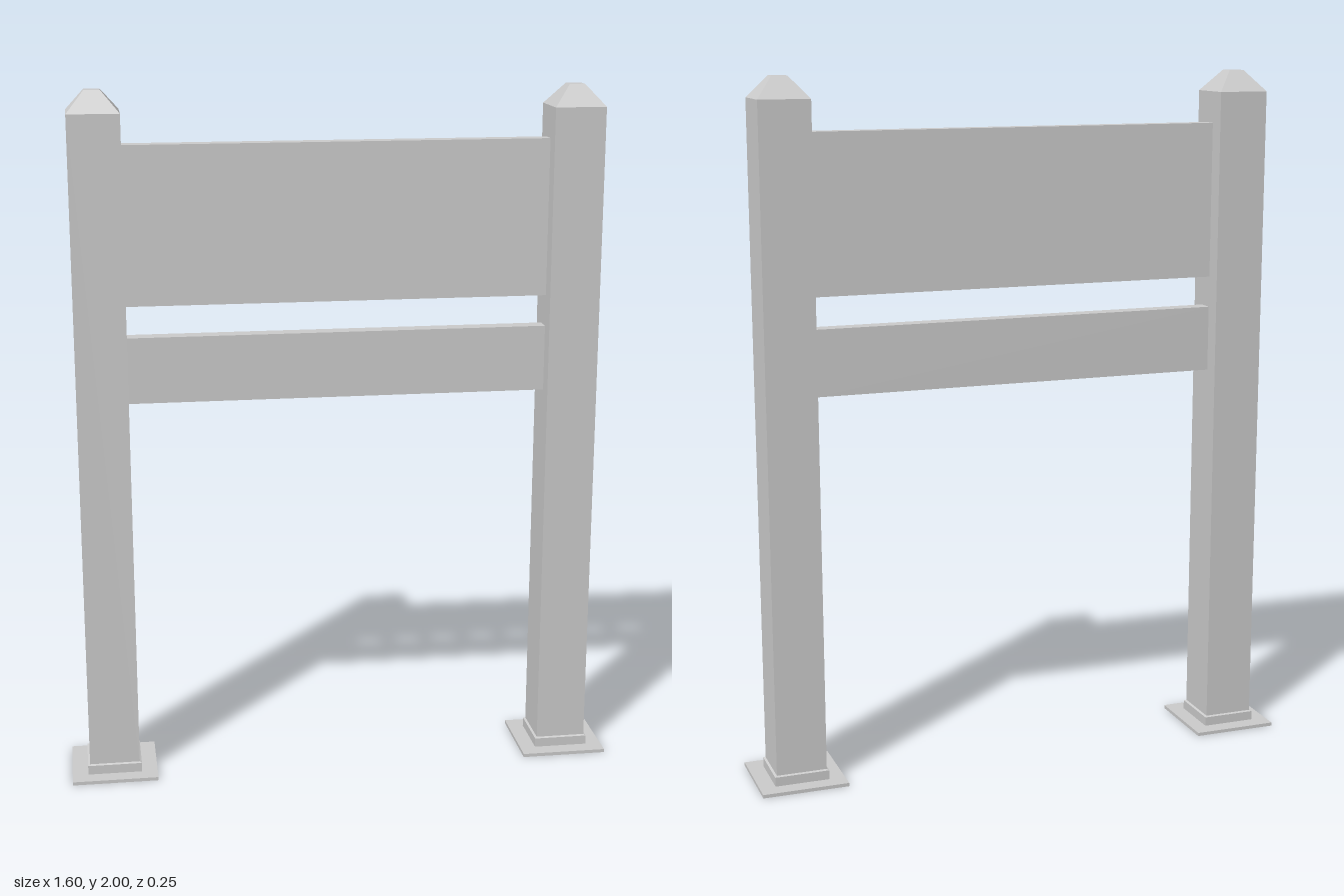
import * as THREE from 'three';

const material = new THREE.MeshStandardMaterial({ color: 0xcccccc, flatShading: true });

// Square turned solid from [half width, height] pairs; counter-clockwise profile faces outward
function squareLathe(name, profile) {
  const points = profile.map(([half, y]) => new THREE.Vector2(half * Math.SQRT2, y));
  const geometry = new THREE.LatheGeometry(points, 4, Math.PI / 4).toNonIndexed();
  geometry.computeVertexNormals();
  const mesh = new THREE.Mesh(geometry, material);
  mesh.name = name;
  return mesh;
}

function board(name, bottom, top) {
  const mesh = new THREE.Mesh(new THREE.BoxGeometry(1.21, top - bottom, 0.047), material);
  mesh.name = name;
  mesh.position.y = (bottom + top) / 2;
  return mesh;
}

function createPost(name) {
  const post = new THREE.Group();
  post.name = name;
  // Hollow square shaft, open at the foot
  post.add(squareLathe('shaft', [
    [0, 1.93], [0.056, 1.93], [0.056, 0.012], [0.073, 0.012], [0.073, 1.94],
  ]));
  // Truncated pyramid cap
  post.add(squareLathe('cap', [[0.073, 1.94], [0.022, 2], [0, 2]]));
  // Flat foot plate with a raised collar around the shaft
  post.add(squareLathe('footPlate', [
    [0.068, 0.012], [0.068, 0], [0.125, 0], [0.125, 0.01],
    [0.079, 0.01], [0.079, 0.037], [0.073, 0.04],
  ]));
  return post;
}

export function createModel() {
  const model = new THREE.Group();
  model.name = 'signFrame';

  // Pair of posts
  for (const side of [-1, 1]) {
    const post = createPost(side < 0 ? 'rightPost' : 'leftPost');
    post.position.x = side * 0.676;
    model.add(post);
  }

  // Boards between the posts
  model.add(board('upperBoard', 1.4, 1.85), board('lowerBoard', 1.12, 1.31));
  return model;
}
